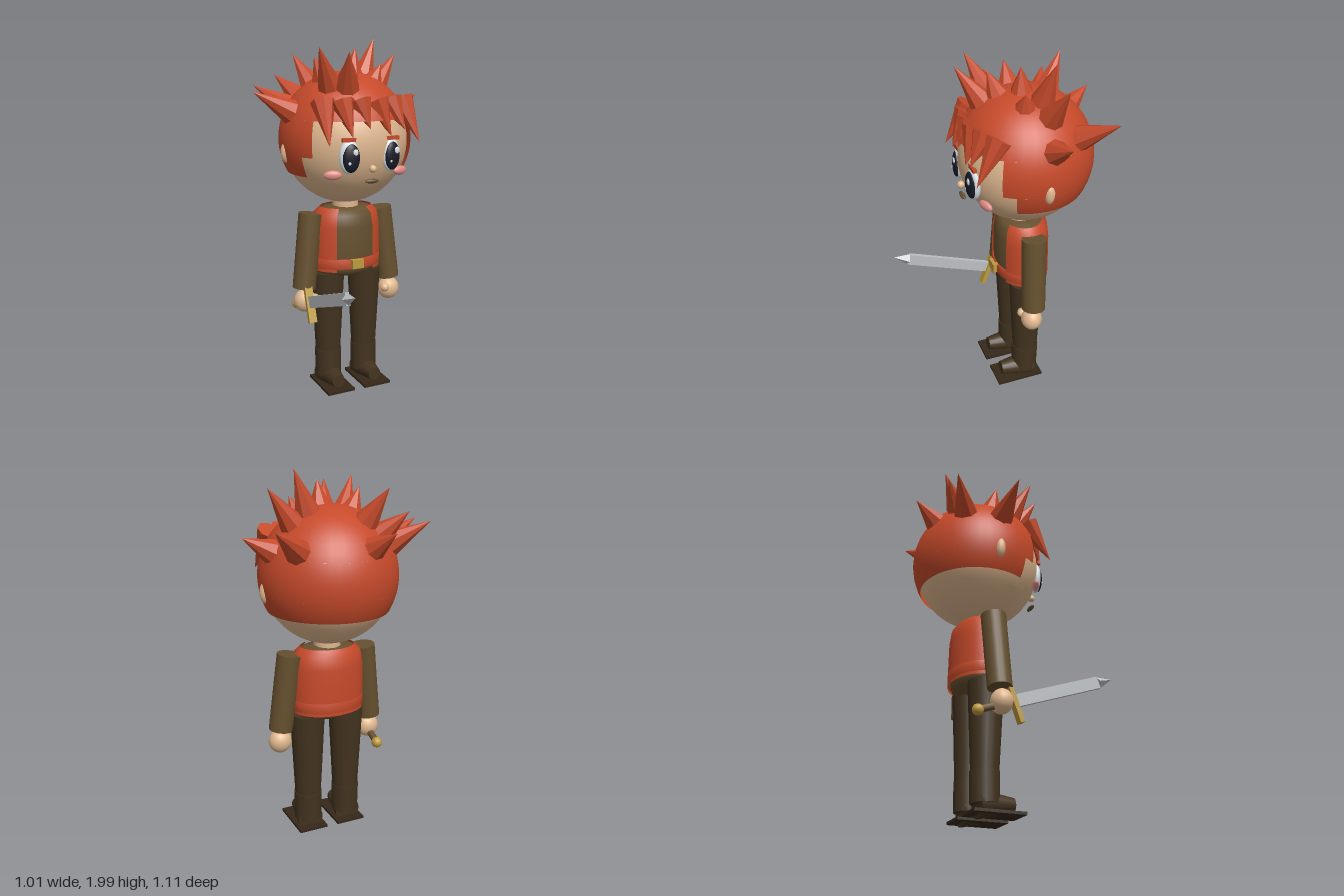
import * as THREE from 'three';

const mat = (name, color, extra = {}) => {
  const m = new THREE.MeshStandardMaterial({ color, ...extra });
  m.name = name;
  return m;
};
const V = (x, y, z) => new THREE.Vector3(x, y, z);
const CX = 0.025, CZ = -0.12;   // body axis

export function createModel() {
  const root = new THREE.Group();
  root.name = 'swordBoy';
  const skin = mat('skin', 0xe0b88f);
  const red = mat('red', 0xc64a2a, { side: THREE.DoubleSide });
  const redFlat = red.clone();
  redFlat.flatShading = true;
  const brown = mat('brown', 0x66502f);
  const dark = mat('darkBrown', 0x42331f);
  const soleMat = mat('soleBrown', 0x36281a);
  const gold = mat('gold', 0xbd9a3e);
  const steel = mat('steel', 0xbcc0c4, { flatShading: true });
  const white = mat('eyeWhite', 0xdbe6ec);
  const black = mat('pupil', 0x191a26);
  const pink = mat('cheekPink', 0xe08f88);

  const add = (name, geo, material, x = 0, y = 0, z = 0, parent = root) => {
    const m = new THREE.Mesh(geo, material);
    m.name = name;
    m.position.set(x, y, z);
    parent.add(m);
    return m;
  };
  const ball = (name, material, x, y, z, rx, ry = rx, rz = rx) => {
    const m = add(name, new THREE.SphereGeometry(1, 20, 14), material, x, y, z);
    m.scale.set(rx, ry, rz);
    return m;
  };
  // tapered cylinder from a (radius ra) to b (radius rb)
  const limb = (name, a, b, ra, rb, material, seg = 20) => {
    const d = b.clone().sub(a);
    const m = add(name, new THREE.CylinderGeometry(rb, ra, d.length(), seg), material);
    m.position.copy(a).addScaledVector(d, 0.5);
    m.quaternion.setFromUnitVectors(V(0, 1, 0), d.normalize());
    return m;
  };

  // Head and face
  const head = V(CX, 1.45, -0.13);
  add('head', new THREE.SphereGeometry(0.346, 32, 24), skin, ...head);
  limb('neck', V(CX, 1.05, CZ), V(CX, 1.14, CZ), 0.073, 0.073, skin);
  ball('nose', skin, CX, 1.335, 0.215, 0.02);
  ball('mouth', brown, CX, 1.27, 0.208, 0.04, 0.012, 0.013);
  for (const s of [-1, 1]) {
    const ex = CX + s * 0.12;
    ball('ear', skin, CX + s * 0.345, 1.4, -0.13, 0.032, 0.058, 0.028);
    ball('eye', white, ex, 1.4, 0.185, 0.056, 0.09, 0.03).rotation.y = s * 0.2;
    ball('pupil', black, ex + 0.002, 1.395, 0.2, 0.047, 0.075, 0.022).rotation.y = s * 0.2;
    ball('eyeShine', white, ex + 0.02, 1.425, 0.219, 0.015, 0.018, 0.006);
    ball('eyeShineSmall', white, ex - 0.014, 1.37, 0.219, 0.008, 0.009, 0.005);
    ball('cheek', pink, CX + s * 0.198, 1.305, 0.148, 0.048, 0.025, 0.018).rotation.y = s * 0.35;
    add('eyebrow', new THREE.BoxGeometry(0.085, 0.02, 0.02), red, ex, 1.488, 0.19);
  }

  // Hair shell: full crown, then two bands open at the face
  const bands = [[0, Math.PI * 2, 0, 1.237], [2.486, 4.454, 1.237, 1.764], [2.678, 4.07, 1.764, 2.086]];
  for (const [p, pl, t0, t1] of bands) {
    add('hairShell', new THREE.SphereGeometry(0.366, 32, 10, p, pl, t0, t1 - t0), red, head.x, 1.46, head.z);
  }

  // Hair spikes growing outward from the head, listed by tip
  const tips = [
    [-0.51, 1.725, -0.1], [0.505, 1.685, -0.18], [0.44, 1.74, -0.455], [-0.13, 1.715, -0.555],
    [-0.405, 1.745, -0.41], [-0.275, 1.8, -0.42], [-0.17, 1.915, -0.405], [0.38, 1.915, -0.21],
    [0.24, 2.0, -0.2], [0.07, 1.945, -0.09], [-0.225, 1.95, 0.105], [-0.1, 1.925, 0.195],
    [-0.03, 1.91, 0.05], [-0.17, 1.9, -0.09], [0.21, 1.86, -0.06],
  ];
  const spike = (name, base, tip, r) => {
    const d = tip.clone().sub(base);
    const m = add(name, new THREE.ConeGeometry(r, d.length(), 8), redFlat);
    m.position.copy(base).addScaledVector(d, 0.5);
    m.quaternion.setFromUnitVectors(V(0, 1, 0), d.normalize());
  };
  for (const t of tips) {
    const tip = V(...t);
    const dir = tip.clone().sub(head).normalize();
    spike('hairSpike', head.clone().addScaledVector(dir, 0.32), tip, 0.08);
  }

  // Fringe: base x, base z, tip x, tip y
  const fringe = [
    [-0.2, 0.09, -0.22, 1.46], [-0.11, 0.13, -0.09, 1.5], [-0.02, 0.15, 0.01, 1.54],
    [0.08, 0.15, 0.13, 1.5], [0.17, 0.13, 0.21, 1.53], [0.26, 0.09, 0.3, 1.46],
  ];
  for (const [bx, bz, tx, ty] of fringe) spike('fringe', V(bx, 1.675, bz), V(tx, ty, 0.22), 0.066);

  // Torso: shirt, open vest, belt and buckle
  const lathe = (name, pts, material, start = 0, len = Math.PI * 2) => {
    const g = new THREE.LatheGeometry(pts.map(p => new THREE.Vector2(...p)), 36, start, len);
    add(name, g, material, CX, 0, CZ).scale.z = 0.74;
  };
  lathe('shirt', [[0, 0.69], [0.13, 0.692], [0.175, 0.71], [0.185, 0.74], [0.192, 0.85], [0.19, 0.98],
    [0.178, 1.045], [0.145, 1.075], [0.07, 1.085], [0, 1.085]], brown);
  lathe('vest', [[0.202, 0.727], [0.203, 0.85], [0.2, 0.98], [0.187, 1.05], [0.15, 1.083]],
    red, 0.58, Math.PI * 2 - 1.16);
  lathe('belt', [[0.19, 0.745], [0.205, 0.745], [0.205, 0.8], [0.19, 0.8]], red);
  add('buckle', new THREE.BoxGeometry(0.07, 0.05, 0.03), gold, CX, 0.775, 0.036);

  // Arms, legs and boots
  for (const s of [-1, 1]) {
    const hx = CX + s * 0.267;
    limb('sleeve', V(CX + s * 0.215, 1.055, -0.115), V(hx, 0.632, -0.1), 0.068, 0.065, brown);
    ball('hand', skin, hx, 0.56, -0.09, 0.064, 0.066, 0.058);
    ball('thumb', skin, hx - s * 0.045, 0.578, -0.05, 0.026);
    const lx = CX + s * 0.115;
    limb('leg', V(lx, 0.23, -0.117), V(lx, 0.71, -0.115), 0.072, 0.096, dark);
    limb('bootShaft', V(lx, 0.08, -0.115), V(lx, 0.24, -0.117), 0.075, 0.077, dark);
    limb('bootFoot', V(lx, 0.078, -0.155), V(lx, 0.085, 0.035), 0.073, 0.038, dark);
    add('sole', new THREE.BoxGeometry(0.165, 0.015, 0.275), soleMat, lx, 0.036, -0.063);
  }

  // Sword, built along +z and tilted upward
  const sword = new THREE.Group();
  sword.name = 'sword';
  sword.position.set(-0.24, 0.57, -0.022);
  sword.rotation.x = -0.345;
  root.add(sword);
  add('blade', new THREE.BoxGeometry(0.022, 0.065, 0.52), steel, 0, 0, 0.26, sword);
  add('bladeTip', new THREE.ConeGeometry(0.033, 0.09, 4), steel, 0, 0, 0.565, sword).rotation.x = Math.PI / 2;
  add('guard', new THREE.BoxGeometry(0.045, 0.2, 0.025), gold, 0, -0.015, 0, sword);
  add('grip', new THREE.CylinderGeometry(0.019, 0.019, 0.19, 12), brown, 0, 0, -0.1, sword).rotation.x = Math.PI / 2;
  add('pommel', new THREE.SphereGeometry(0.03, 14, 10), gold, 0, 0, -0.205, sword);
  return root;
}
